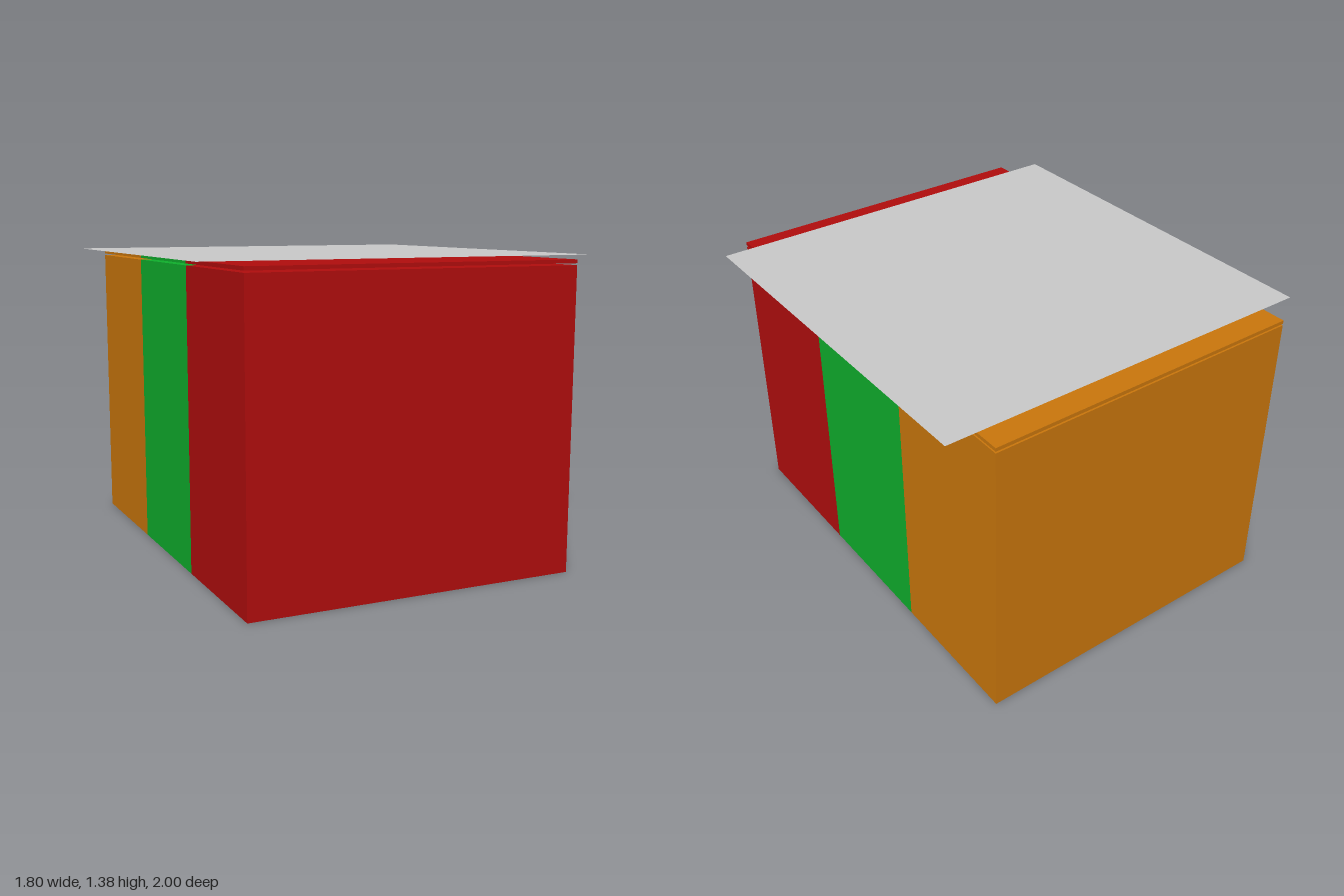
import * as THREE from 'three';

const paint = (name, color) => {
  const m = new THREE.MeshStandardMaterial({ color });
  m.name = name;
  return m;
};

export function createModel() {
  const group = new THREE.Group();
  const sheetGrey = paint('light grey', 0xc8c8c8);
  sheetGrey.side = THREE.DoubleSide;

  const width = 1.5, depth = 2 / 3;
  const bands = [
    ['front', paint('red', 0xb00d0d), depth],
    ['middle', paint('green', 0x0fae2c), 0],
    ['back', paint('orange', 0xc9760c), -depth],
  ];

  const addSlab = (name, material, z, bottom, top) => {
    const mesh = new THREE.Mesh(new THREE.BoxGeometry(width, top - bottom, depth), material);
    mesh.name = name;
    mesh.position.set(0, (bottom + top) / 2, z);
    group.add(mesh);
  };

  // three coloured bands, each a body block with a thin lid above a narrow gap
  for (const [name, material, z] of bands) {
    addSlab(name + 'Body', material, z, 0, 1.339);
    addSlab(name + 'Lid', material, z, 1.347, 1.363);
  }

  // square sheet floating just above the lid
  const sheet = new THREE.Mesh(new THREE.PlaneGeometry(1.8, 1.8), sheetGrey);
  sheet.name = 'topSheet';
  sheet.rotation.x = -Math.PI / 2;
  sheet.position.y = 1.378;
  group.add(sheet);

  return group;
}
